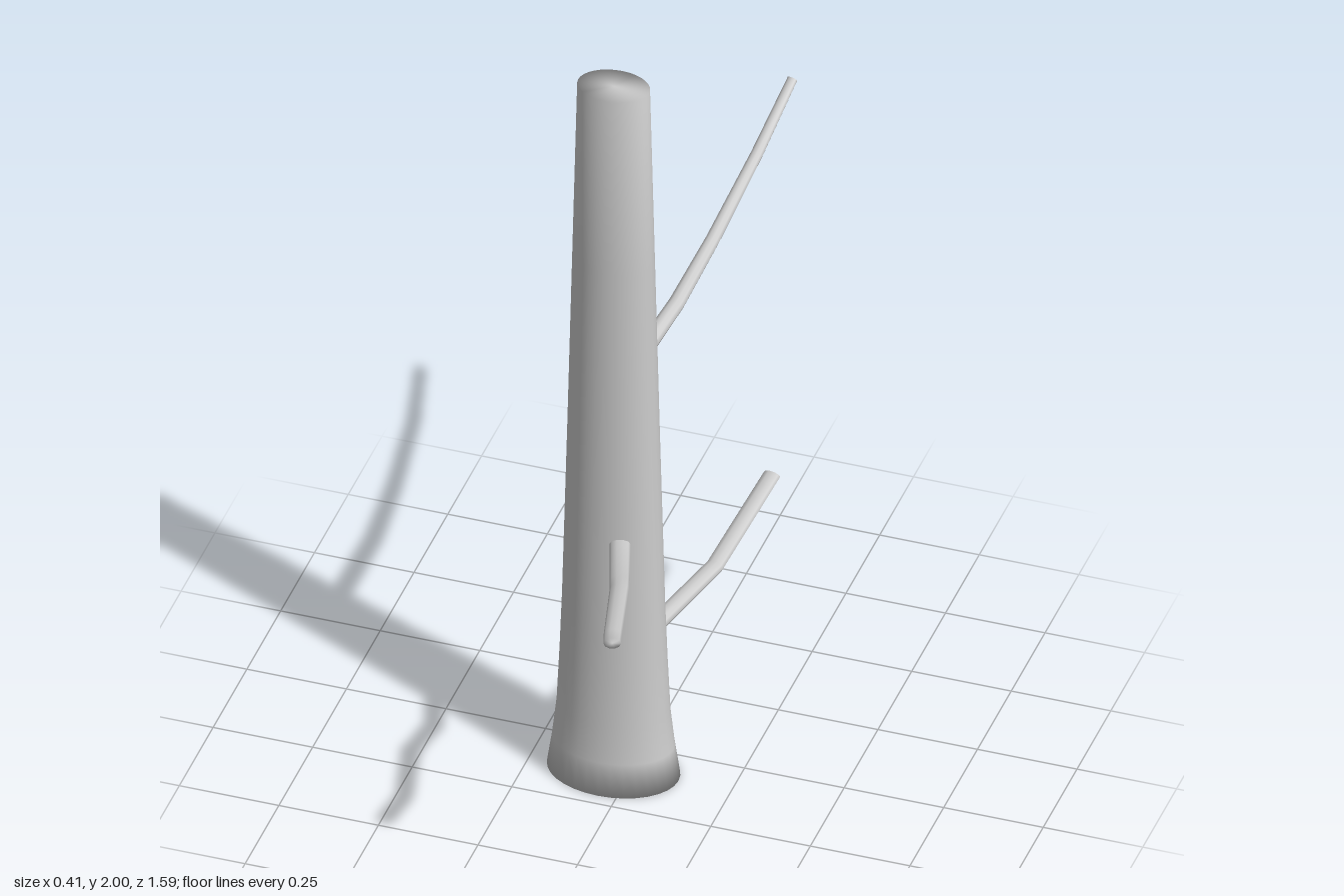
import * as THREE from 'three';

const material = new THREE.MeshStandardMaterial({ color: 0xcccccc });

// Tapered limb: an oval section swept along straight pieces, closed at the tip.
// [rx0, ry0] is the half width and half height at the base, [rx1, ry1] at the tip.
function limb(name, path, [rx0, ry0], [rx1, ry1], sides = 10) {
  const pts = path.map((p) => new THREE.Vector3(...p));
  const last = pts.length - 1;
  const up = new THREE.Vector3(0, 1, 0);
  const pos = [];
  const index = [];

  pts.forEach((p, i) => {
    const dir = new THREE.Vector3();
    if (i > 0) dir.add(p.clone().sub(pts[i - 1]).normalize());
    if (i < last) dir.add(pts[i + 1].clone().sub(p).normalize());
    dir.normalize();
    const side = up.clone().cross(dir).normalize();
    const top = dir.clone().cross(side);
    const rx = THREE.MathUtils.lerp(rx0, rx1, i / last);
    const ry = THREE.MathUtils.lerp(ry0, ry1, i / last);
    for (let j = 0; j < sides; j++) {
      const a = (j / sides) * Math.PI * 2;
      const v = p.clone()
        .addScaledVector(side, Math.cos(a) * rx)
        .addScaledVector(top, Math.sin(a) * ry);
      pos.push(v.x, v.y, v.z);
    }
  });

  for (let i = 0; i < last; i++) {
    for (let j = 0; j < sides; j++) {
      const k = (j + 1) % sides;
      const a = i * sides + j, b = i * sides + k;
      index.push(a, b, b + sides, a, b + sides, a + sides);
    }
  }

  // Tip cap
  const tip = pos.length / 3;
  pos.push(...path[last]);
  for (let j = 0; j < sides; j++) {
    index.push(tip, last * sides + j, last * sides + ((j + 1) % sides));
  }

  const geo = new THREE.BufferGeometry();
  geo.setAttribute('position', new THREE.Float32BufferAttribute(pos, 3));
  geo.setIndex(index);
  geo.computeVertexNormals();
  const mesh = new THREE.Mesh(geo, material);
  mesh.name = name;
  return mesh;
}

export function createModel() {
  const tree = new THREE.Group();
  tree.name = 'bareTree';

  // Trunk: oval in plan, flared at the foot, closed at both ends
  const profile = [
    [0, 0], [0.163, 0], [0.15, 0.09], [0.139, 0.19], [0.132, 0.34],
    [0.126, 0.5], [0.113, 1], [0.101, 1.5], [0.089, 2], [0, 2],
  ].map(([r, y]) => new THREE.Vector2(r, y));
  const trunkGeo = new THREE.LatheGeometry(profile, 32);
  trunkGeo.scale(1, 1, 0.73);
  const trunk = new THREE.Mesh(trunkGeo, material);
  trunk.name = 'trunk';
  trunk.position.set(-0.045, 0, 0.1);
  tree.add(trunk);

  // Branches, each rooted inside the trunk
  tree.add(limb('upperBackBranch', [
    [-0.025, 1.13, 0.06], [0.015, 1.18, -0.19], [0.04, 1.24, -0.38],
    [0.07, 1.335, -0.62], [0.102, 1.447, -0.79],
  ], [0.023, 0.02], [0.013, 0.011]));

  tree.add(limb('lowerBackBranch', [
    [0.0, 0.35, 0.06], [0.08, 0.362, -0.28], [0.122, 0.435, -0.58],
  ], [0.024, 0.018], [0.022, 0.012]));

  tree.add(limb('frontBranch', [
    [-0.015, 0.722, 0.14], [0.045, 0.722, 0.32], [0.095, 0.812, 0.47],
    [0.14, 0.812, 0.65], [0.184, 0.887, 0.785],
  ], [0.025, 0.013], [0.021, 0.013]));

  return tree;
}
